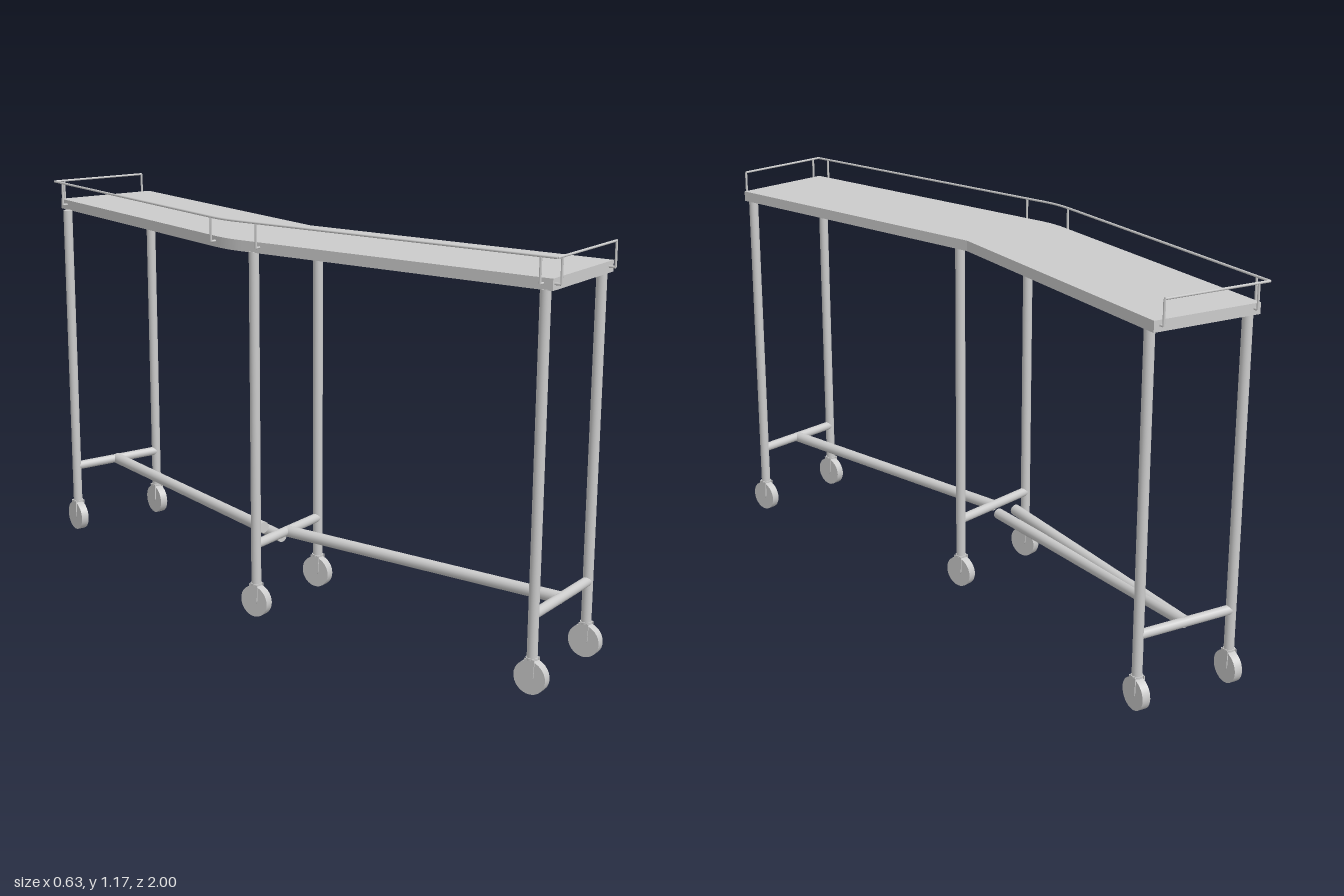
import * as THREE from 'three';

const BEND = THREE.MathUtils.degToRad(18);
const PIVOT = 0.03;          // x of the inner corner the table bends about
const WIDTH = 0.33, RAIL = 0.345;
const material = new THREE.MeshStandardMaterial({ color: 0xcccccc });
const V = (x, y, z) => new THREE.Vector3(x, y, z);

function add(parent, name, geometry, x = 0, y = 0, z = 0) {
  const mesh = new THREE.Mesh(geometry, material);
  mesh.name = name;
  mesh.position.set(x, y, z);
  parent.add(mesh);
  return mesh;
}

// Round bar between two points
function rod(parent, name, a, b, radius, sides = 16) {
  const mesh = add(parent, name, new THREE.CylinderGeometry(radius, radius, a.distanceTo(b), sides));
  mesh.position.copy(a).add(b).multiplyScalar(0.5);
  mesh.quaternion.setFromUnitVectors(V(0, 1, 0), b.clone().sub(a).normalize());
  return mesh;
}

// Thin wire through a list of points
function wire(parent, name, points) {
  for (let i = 1; i < points.length; i++) rod(parent, name, points[i - 1], points[i], 0.0035, 8);
}

// Wheel with a fork plate on each side
function caster(parent, x, z) {
  const g = new THREE.Group();
  g.name = 'caster';
  g.position.set(x, 0, z);
  parent.add(g);
  const wheel = new THREE.CylinderGeometry(0.047, 0.047, 0.025, 32).rotateZ(Math.PI / 2);
  add(g, 'wheel', wheel, 0, 0.047, 0);
  const plate = new THREE.Shape();
  plate.moveTo(-0.015, 0.1);
  plate.lineTo(-0.013, 0.055);
  plate.absarc(0, 0.052, 0.013, Math.PI, Math.PI * 2, false);
  plate.lineTo(0.015, 0.1);
  const plateGeo = new THREE.ExtrudeGeometry(plate, { depth: 0.003, bevelEnabled: false }).rotateY(Math.PI / 2);
  for (const px of [-0.0158, 0.0128]) add(g, 'forkPlate', plateGeo, px, 0, 0);
  add(g, 'forkCap', new THREE.CylinderGeometry(0.017, 0.017, 0.006, 20), 0, 0.099, 0);
}

// Pair of legs joined by a crossbar
function legFrame(parent, xs, z) {
  for (const x of xs) {
    rod(parent, 'leg', V(x, 0.1, z), V(x, 1.08, z), 0.0145, 20);
    caster(parent, x, z);
  }
  rod(parent, 'crossbar', V(xs[0], 0.22, z), V(xs[1], 0.22, z), 0.014);
}

// Guard post: drops from the rail and turns in to the table edge
function railPost(parent, x, z, dx, dz) {
  wire(parent, 'railPost', [V(x, 1.165, z), V(x, 1.095, z), V(x + dx, 1.095, z + dz)]);
}

export function createModel() {
  const model = new THREE.Group();
  model.name = 'angledTable';

  // Each half has its origin at the inner corner of the bend
  const front = new THREE.Group(), back = new THREE.Group();
  front.name = 'frontHalf';
  back.name = 'backHalf';
  front.position.x = back.position.x = PIVOT;
  back.rotation.y = -BEND;
  model.add(front, back);

  // Point in the plan (x, z) of the back half, in model space
  const backPoint = (x, y, z) => V(x, y, z).applyAxisAngle(V(0, 1, 0), -BEND).add(V(PIVOT, 0, 0));

  // Bent table top, rounded on the outer side of the bend
  const top = new THREE.Shape();
  const farRight = backPoint(0, 0, -0.925), farLeft = backPoint(-WIDTH, 0, -0.925);
  top.moveTo(PIVOT - WIDTH, -0.978);
  top.lineTo(PIVOT, -0.978);
  top.lineTo(PIVOT, 0);
  top.lineTo(farRight.x, -farRight.z);
  top.lineTo(farLeft.x, -farLeft.z);
  top.absarc(PIVOT, 0, WIDTH, Math.PI - BEND, Math.PI, false);
  const topGeo = new THREE.ExtrudeGeometry(top, { depth: 0.031, bevelEnabled: false, curveSegments: 8 });
  add(model, 'tableTop', topGeo.rotateX(-Math.PI / 2), 0, 1.078, 0);

  // Legs, crossbars and casters
  legFrame(front, [-0.32, -0.015], 0.953);
  legFrame(front, [-0.32, -0.015], 0.04);
  legFrame(back, [-0.341, -0.033], -0.862);

  // Stretchers running lengthwise
  rod(model, 'frontStretcher', V(-0.138, 0.218, 0.953), V(-0.138, 0.218, 0.04), 0.017);
  rod(model, 'slopedStretcher', V(-0.138, 0.196, 0.02), backPoint(-0.187, 0.22, -0.862), 0.017);
  rod(back, 'backStretcher', V(-0.187, 0.219, 0.025), V(-0.187, 0.219, -0.862), 0.017);

  // Guard rail around the front end, outer side and back end
  const rail = [V(0.005, 1.165, 0.996), V(PIVOT - RAIL, 1.165, 0.996)];
  for (let i = 0; i <= 6; i++) {
    const a = BEND * i / 6;
    rail.push(V(PIVOT - RAIL * Math.cos(a), 1.165, -RAIL * Math.sin(a)));
  }
  rail.push(backPoint(-RAIL, 1.165, -0.938), backPoint(-0.02, 1.165, -0.938));
  wire(model, 'guardRail', rail);

  // Guard posts
  for (const z of [0.95, 0.067]) railPost(front, -RAIL, z, 0.02, 0);
  for (const x of [-0.32, -0.025]) railPost(front, x, 0.996, 0, -0.022);
  for (const z of [0, -0.885]) railPost(back, -RAIL, z, 0.02, 0);
  for (const x of [-0.31, -0.02]) railPost(back, x, -0.938, 0, 0.02);

  return model;
}
